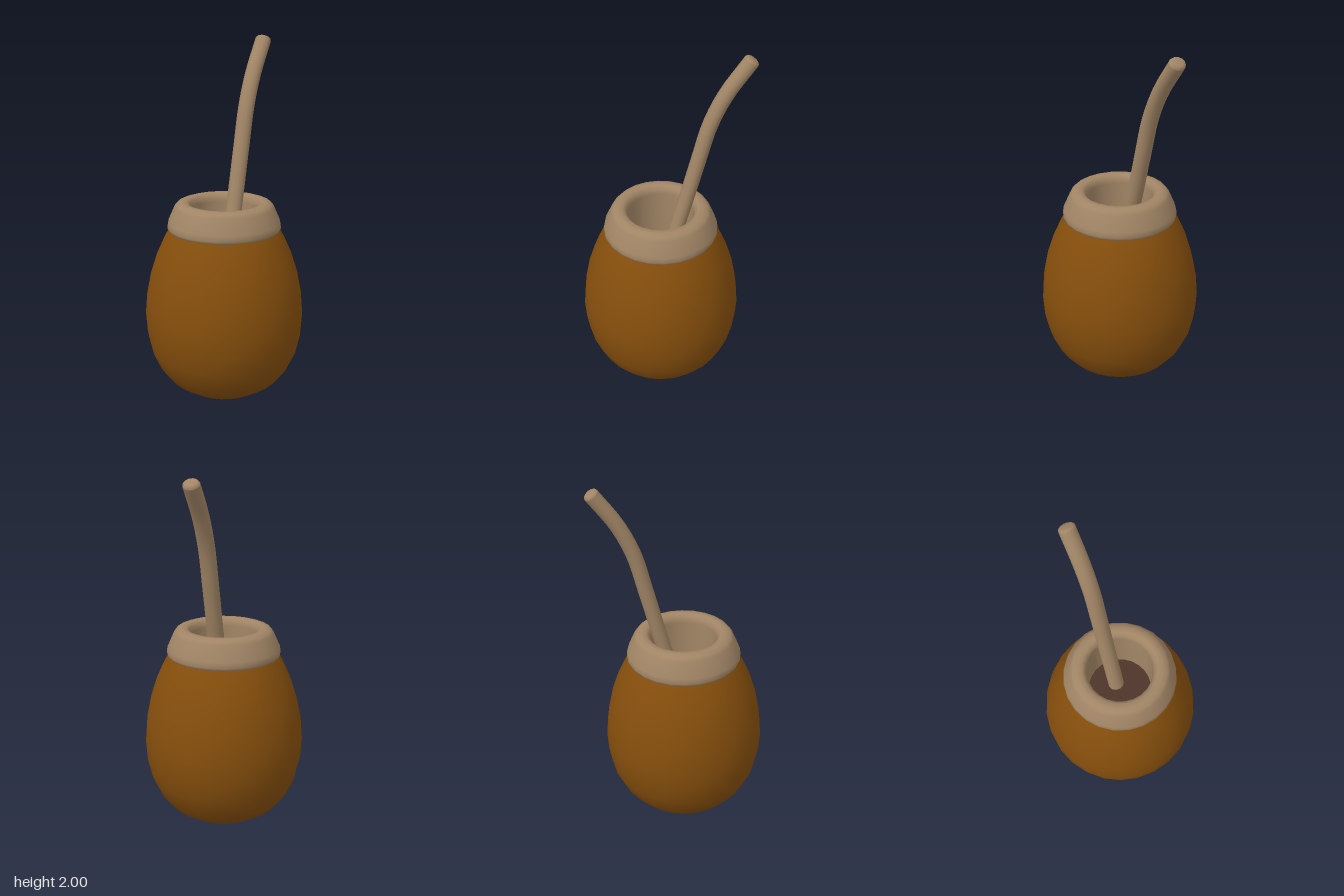
import * as THREE from 'three';

const mat = (name, color) => Object.assign(new THREE.MeshStandardMaterial({ color }), { name });

function part(name, geometry, material, parent) {
  const mesh = new THREE.Mesh(geometry, material);
  mesh.name = name;
  parent.add(mesh);
  return mesh;
}

// Turned shape from [radius, height] pairs
const turned = (pairs, segments) =>
  new THREE.LatheGeometry(pairs.map(([r, y]) => new THREE.Vector2(r, y)), segments);

export function createModel() {
  const group = new THREE.Group();
  group.name = 'gourdCup';
  const gourd = mat('gourd brown', 0x854e0c);
  const tan = mat('pale tan', 0xa18565);
  const tea = mat('dark tea', 0x4e352b);

  // Rounded gourd body, tucked under the collar
  part('gourdBody', turned([
    [0, 0], [0.08, 0.003], [0.2, 0.028], [0.3, 0.088], [0.365, 0.165], [0.41, 0.26],
    [0.436, 0.37], [0.444, 0.48], [0.434, 0.6], [0.41, 0.72], [0.375, 0.83],
    [0.335, 0.92], [0.302, 0.98], [0.27, 1.03],
  ], 26), gourd, group);

  // Collar with a thick rounded lip and an inner wall
  part('collar', turned([
    [0.28, 0.965], [0.308, 0.968], [0.316, 0.985], [0.312, 1.015], [0.276, 1.098],
    [0.26, 1.117], [0.235, 1.126], [0.208, 1.125], [0.19, 1.11], [0.182, 1.08], [0.18, 0.76],
  ], 24), tan, group);

  // Tea surface deep inside
  const surface = part('teaSurface', new THREE.CircleGeometry(0.182, 24), tea, group);
  surface.rotation.x = -Math.PI / 2;
  surface.position.y = 0.78;

  // Bent straw, drawn in the xy plane, widened sideways, then turned to the back left
  const straw = new THREE.Group();
  straw.name = 'straw';
  straw.rotation.y = 0.685;
  straw.scale.z = 1.12;
  group.add(straw);
  const path = new THREE.CatmullRomCurve3([
    [0.02, 0.7], [0.135, 1.13], [0.205, 1.4], [0.265, 1.62], [0.345, 1.79], [0.47, 1.966],
  ].map(([x, y]) => new THREE.Vector3(x, y, 0)));
  part('strawTube', new THREE.TubeGeometry(path, 24, 0.041, 12), tan, straw);

  // Softly rounded mouthpiece end
  const tip = part('strawTip', turned([[0.041, 0], [0.037, 0.01], [0.027, 0.016], [0, 0.017]], 12), tan, straw);
  tip.position.copy(path.getPoint(1));
  tip.quaternion.setFromUnitVectors(new THREE.Vector3(0, 1, 0), path.getTangent(1));

  return group;
}
